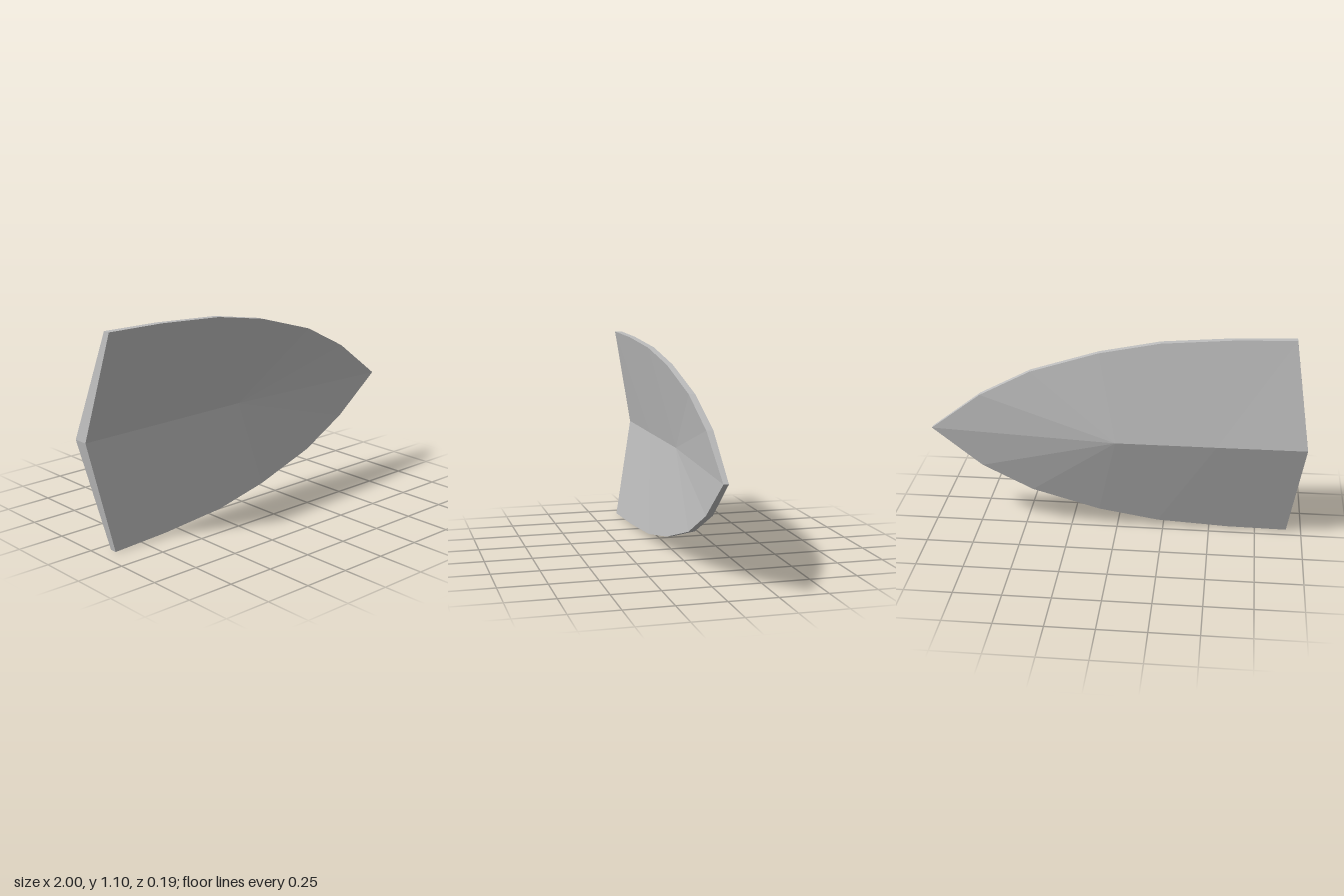
import * as THREE from 'three';

const MID_Y = 0.553;

// Upper outline, rear to tip: x, height above the ridge, front z, back z
const RIM = [
  [-0.92, 0.55, 0.095, 0.057],
  [-0.6, 0.542, 0.083, 0.049],
  [-0.22, 0.515, 0.07, 0.036],
  [0.1, 0.455, 0.052, 0.02],
  [0.46, 0.345, 0.036, 0.003],
  [0.73, 0.206, 0.027, -0.008],
  [1.0, 0, 0.026, 0],
];

// Central ridge, rear to fan centre: x, front z, back z
const RIDGE = [
  [-1.0, -0.012, -0.092],
  [-0.53, -0.017, -0.094],
  [0, -0.025, -0.095],
];

// One faceted half of the plate; side is +1 for the upper half, -1 for the lower
function halfPlate(side) {
  const positions = [];
  const tri = (a, b, c) => {
    for (const p of side > 0 ? [a, b, c] : [a, c, b]) positions.push(...p);
  };
  const quad = (a, b, c, d) => {
    tri(a, b, c);
    tri(a, c, d);
  };
  const rimAt = (k) => RIM.map((p) => new THREE.Vector3(p[0], MID_Y + side * p[1], p[2 + k]));
  const ridgeAt = (k) => RIDGE.map((p) => new THREE.Vector3(p[0], MID_Y, p[1 + k]));
  const [rimF, rimB] = [rimAt(0), rimAt(1)];
  const [ridgeF, ridgeB] = [ridgeAt(0), ridgeAt(1)];

  // Front and back faces: facets fanning out from the ridge points
  const face = (rim, ridge, put) => {
    for (let i = 0; i < rim.length - 1; i++) put(ridge[i < 2 ? 1 : 2], rim[i + 1], rim[i]);
    put(ridge[0], ridge[1], rim[0]);
    put(ridge[1], ridge[2], rim[2]);
  };
  face(rimF, ridgeF, tri);
  face(rimB, ridgeB, (a, b, c) => tri(a, c, b));

  // Outer edge and rear end
  for (let i = 0; i < RIM.length - 1; i++) quad(rimF[i], rimF[i + 1], rimB[i + 1], rimB[i]);
  quad(ridgeF[0], rimF[0], rimB[0], ridgeB[0]);

  const geometry = new THREE.BufferGeometry();
  geometry.setAttribute('position', new THREE.Float32BufferAttribute(positions, 3));
  geometry.computeVertexNormals();
  return geometry;
}

export function createModel() {
  const group = new THREE.Group();
  group.name = 'pointedPlate';
  const grey = new THREE.MeshStandardMaterial({ color: 0xbcbcbc });
  grey.name = 'light grey';

  for (const [name, side] of [['upperHalf', 1], ['lowerHalf', -1]]) {
    const mesh = new THREE.Mesh(halfPlate(side), grey);
    mesh.name = name;
    group.add(mesh);
  }
  return group;
}
